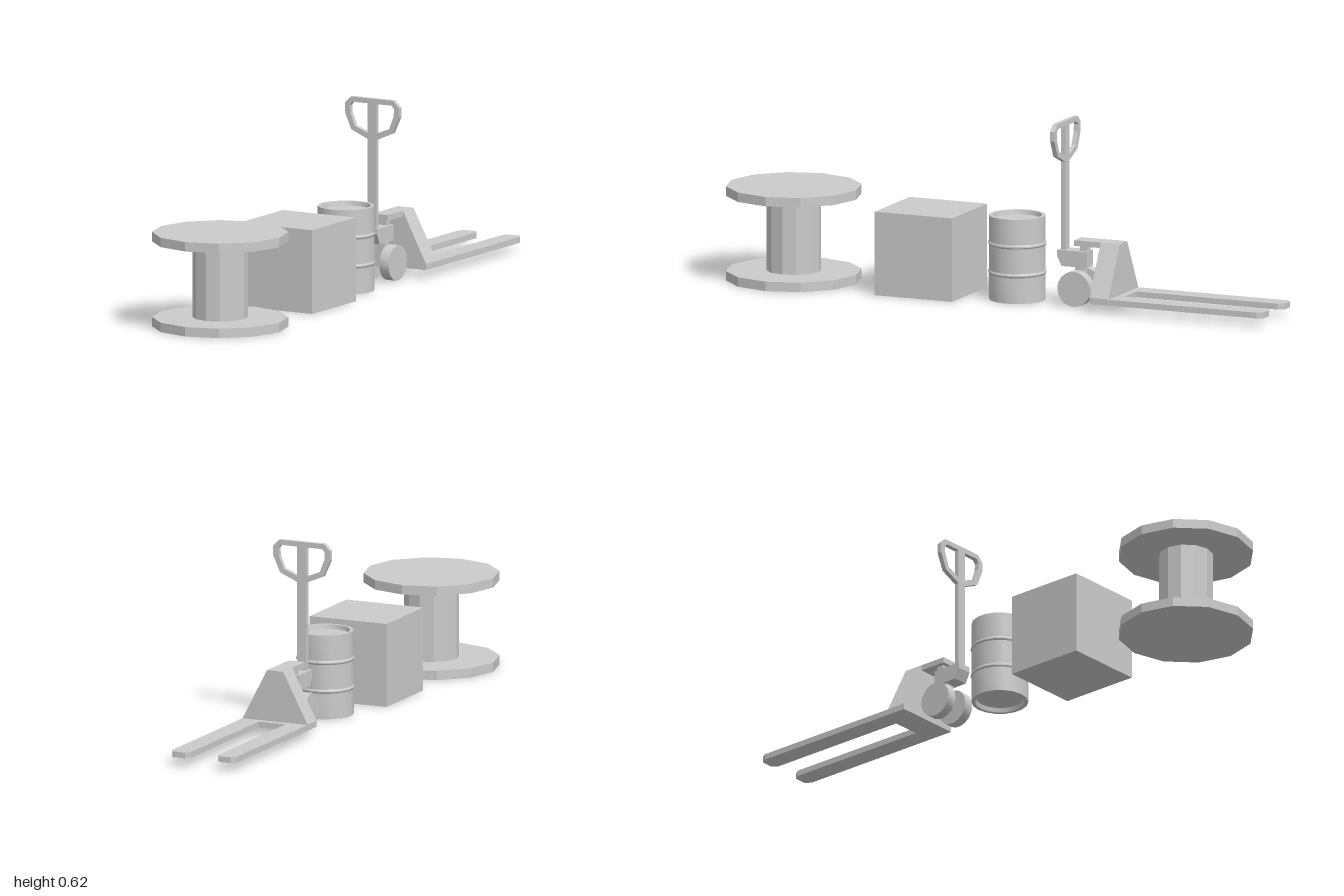
import * as THREE from 'three';
import { toCreasedNormals } from 'three/addons/utils/BufferGeometryUtils.js';

const flat = new THREE.MeshStandardMaterial({ color: 0xcccccc, flatShading: true });
const smooth = new THREE.MeshStandardMaterial({ color: 0xcccccc });

function add(parent, name, geometry, x = 0, y = 0, z = 0, material = flat) {
  const mesh = new THREE.Mesh(geometry, material);
  mesh.name = name;
  mesh.position.set(x, y, z);
  parent.add(mesh);
  return mesh;
}

// Box given by its limits on each axis
function addBox(parent, name, [x0, x1], [y0, y1], [z0, z1]) {
  return add(parent, name, new THREE.BoxGeometry(x1 - x0, y1 - y0, z1 - z0),
    (x0 + x1) / 2, (y0 + y1) / 2, (z0 + z1) / 2);
}

const points = (list) => list.map(([x, y]) => new THREE.Vector2(x, y));
const mirrored = (half) => [...half, ...half.map(([x, y]) => [-x, y]).reverse()];
const extrude = (shape, depth) => new THREE.ExtrudeGeometry(shape, { depth, bevelEnabled: false });

function cableSpool() {
  const g = new THREE.Group();
  g.name = 'cableSpool';
  add(g, 'spoolLowerDisc', new THREE.CylinderGeometry(0.228, 0.228, 0.032, 12), 0, 0.016);
  add(g, 'spoolCore', new THREE.CylinderGeometry(0.092, 0.092, 0.256, 12), 0, 0.16);
  add(g, 'spoolUpperDisc', new THREE.CylinderGeometry(0.228, 0.228, 0.032, 12), 0, 0.304);
  g.position.z = 0.772;
  return g;
}

function barrel() {
  const g = new THREE.Group();
  g.name = 'barrel';
  // Recessed lids at both ends and two raised hoops
  const profile = [[0, 0.015], [0.08, 0.015], [0.083, 0], [0.095, 0], [0.095, 0.087],
    [0.098, 0.092], [0.098, 0.096], [0.095, 0.101], [0.095, 0.185], [0.098, 0.19],
    [0.098, 0.194], [0.095, 0.199], [0.095, 0.286], [0.083, 0.286], [0.08, 0.271], [0, 0.271]];
  const lathe = new THREE.LatheGeometry(points(profile), 18);
  add(g, 'barrelBody', toCreasedNormals(lathe, 0.45), 0, 0, 0, smooth);
  g.position.z = -0.048;
  return g;
}

function palletJack() {
  const g = new THREE.Group();
  g.name = 'palletJack';

  // Forks with chamfered tips
  for (const side of [-1, 1]) {
    const outline = [[-0.035, 0.37], [0.035, 0.37], [0.035, 0.98], [0.022, 1], [-0.022, 1], [-0.035, 0.98]];
    const fork = extrude(new THREE.Shape(points(outline)), 0.02).rotateX(-Math.PI / 2);
    add(g, side > 0 ? 'leftFork' : 'rightFork', fork, side * 0.085, 0.029, 0);
  }
  addBox(g, 'forkBridge', [-0.05, 0.05], [0.029, 0.049], [-0.462, -0.37]);

  // Tapered upright body
  const body = new THREE.Shape(points(mirrored([[0.12, 0.029], [0.12, 0.05], [0.03, 0.222]])));
  add(g, 'uprightBody', extrude(body, 0.07), 0, 0, -0.437);

  // Arm, pivot and pump housing
  addBox(g, 'topArm', [-0.03, 0.03], [0.203, 0.222], [-0.367, -0.27]);
  addBox(g, 'pivot', [-0.015, 0.015], [0.18, 0.205], [-0.31, -0.285]);
  const housing = [[0.205, 0.184], [0.205, 0.165], [0.222, 0.13], [0.313, 0.13], [0.313, 0.184]];
  const housingGeo = extrude(new THREE.Shape(points(housing)), 0.054).rotateY(Math.PI / 2);
  add(g, 'pumpHousing', housingGeo, -0.027);

  // Steering wheels on their axle
  addBox(g, 'axlePost', [-0.018, 0.018], [0.045, 0.135], [-0.297, -0.267]);
  add(g, 'axle', new THREE.CylinderGeometry(0.012, 0.012, 0.1, 8).rotateZ(Math.PI / 2), 0, 0.061, -0.282);
  for (const side of [-1, 1]) {
    const wheel = toCreasedNormals(new THREE.CylinderGeometry(0.06, 0.06, 0.036, 18).rotateZ(Math.PI / 2), 0.5);
    add(g, side > 0 ? 'leftWheel' : 'rightWheel', wheel, side * 0.043, 0.061, -0.282, smooth);
  }

  // Drawbar and hand loop
  addBox(g, 'drawbar', [-0.017, 0.017], [0.17, 0.61], [-0.232, -0.216]);
  const loop = new THREE.Shape(points(mirrored(
    [[0.017, 0.484], [0.08, 0.511], [0.105, 0.567], [0.105, 0.6], [0.083, 0.622]])));
  const hole = [[0.017, 0.505], [0.067, 0.525], [0.084, 0.568], [0.086, 0.593], [0.076, 0.605], [0.017, 0.605]];
  for (const side of [-1, 1]) {
    loop.holes.push(new THREE.Path(points(hole.map(([x, y]) => [side * x, y]))));
  }
  add(g, 'handLoop', extrude(loop, 0.016), 0, 0, -0.232);
  return g;
}

export function createModel() {
  const model = new THREE.Group();
  model.name = 'warehouseProps';
  model.add(cableSpool(), barrel(), palletJack());
  addBox(model, 'crate', [-0.142, 0.142], [0, 0.284], [0.127, 0.411]);
  return model;
}
